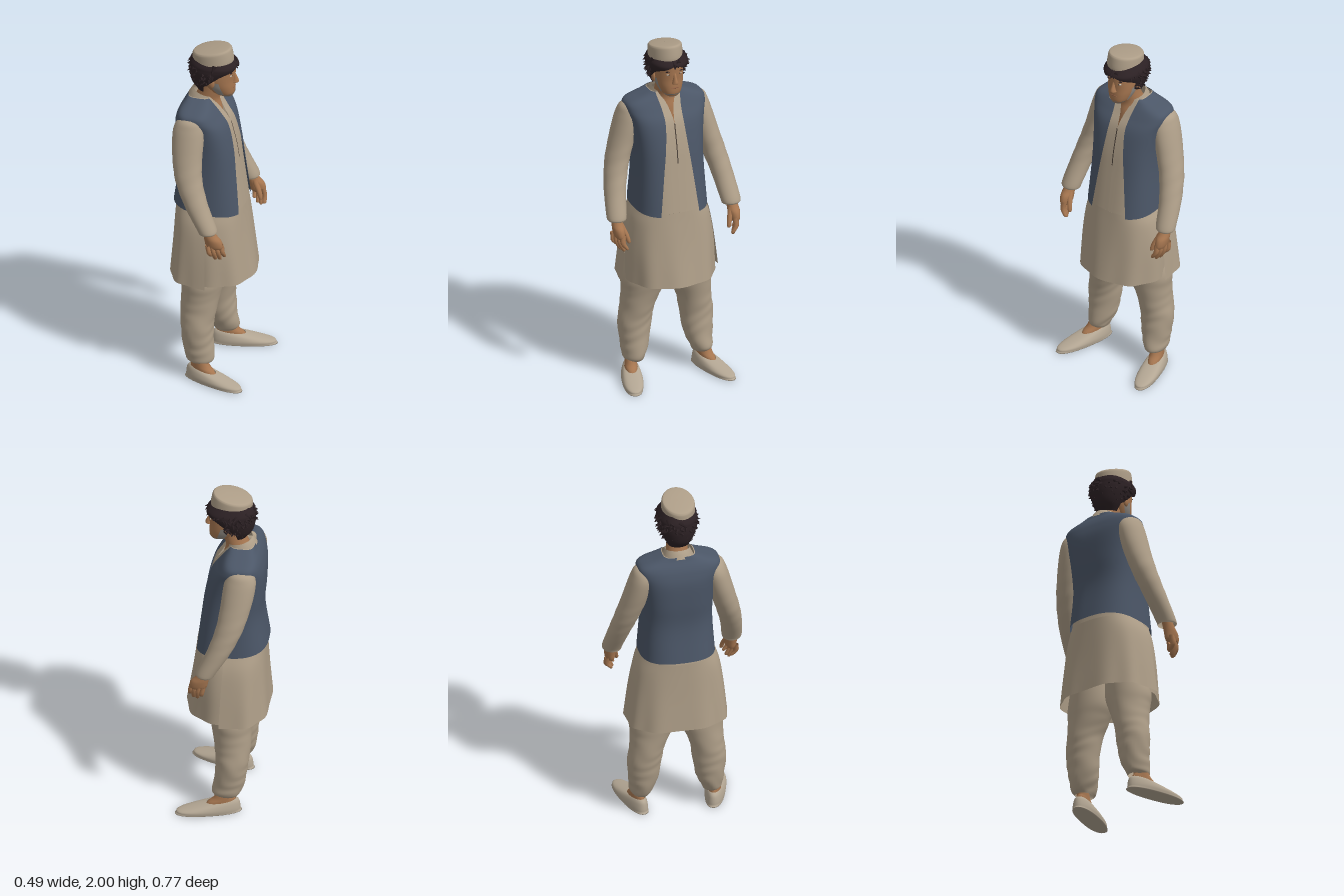
import * as THREE from 'three';

const mat = (name, color) => {
  const m = new THREE.MeshStandardMaterial({ color, side: THREE.DoubleSide });
  m.name = name;
  return m;
};

// Power of a signed number, used for squarish ellipses
const spow = (v, p) => Math.sign(v) * Math.abs(v) ** p;

// Lofts elliptical rings, bottom to top. Row: [y, cx, cz, rx, rz, frontGapHalfWidth, tilt]
// arc: angle range of a panel; p: squareness, or [bottom, top]; fold(angle, y): radius factor
function loft(rows, { seg = 32, steps = 5, p = 1, arc, gap = false, fold = () => 1 } = {}) {
  const curve = f => new THREE.CatmullRomCurve3(rows.map(f), false, 'catmullrom', 0.5);
  const centre = curve(r => new THREE.Vector3(r[1], r[0], r[2]));
  const size = curve(r => new THREE.Vector3(r[3], r[4], r[5] || 0));
  const tilt = curve(r => new THREE.Vector3(r[6] || 0, 0, 0));
  const [p0, p1] = [].concat(p, p);
  const open = gap || !!arc, cols = open ? seg + 1 : seg, n = (rows.length - 1) * steps;
  const pos = [], idx = [];
  for (let i = 0; i <= n; i++) {
    const v = i / n, c = centre.getPoint(v), s = size.getPoint(v), k = tilt.getPoint(v).x;
    const rx = Math.max(s.x, 0.0005), rz = Math.max(s.y, 0.0005), e = p0 + (p1 - p0) * v;
    let [a0, a1] = arc || [0, Math.PI * 2];
    if (gap) {
      a0 = Math.asin(Math.min(1, Math.max(0, s.z) / rz) ** (1 / e));
      a1 = Math.PI * 2 - a0;
    }
    for (let j = 0; j < cols; j++) {
      const t = a0 + (a1 - a0) * j / seg, f = fold(t, c.y);
      pos.push(c.x + rx * f * spow(Math.cos(t), e), c.y + k * Math.cos(t), c.z + rz * f * spow(Math.sin(t), e));
    }
  }
  for (let i = 0; i < n; i++) for (let j = 0; j < seg; j++) {
    const k = (j + 1) % cols, a = i * cols + j, b = i * cols + k, c = a + cols, d = b + cols;
    idx.push(a, c, b, b, c, d);
  }
  const g = new THREE.BufferGeometry();
  g.setAttribute('position', new THREE.Float32BufferAttribute(pos, 3));
  g.setIndex(idx);
  g.computeVertexNormals();
  return g;
}

export function createModel() {
  const cloth = mat('beige cloth', 0xae9e88), blue = mat('blue vest cloth', 0x4b5667);
  const skin = mat('skin', 0xa67650), hairMat = mat('dark hair', 0x2c2124);
  const leather = mat('shoe leather', 0xb3a693), stubble = mat('grey stubble', 0x8d8780);
  const white = mat('eye white', 0xc9c4ba), dark = mat('dark seam', 0x4a4038), lip = mat('lips', 0x8d5c43);

  const root = new THREE.Group();
  const add = (name, geo, m, parent = root) => {
    const mesh = new THREE.Mesh(geo, m);
    mesh.name = name;
    parent.add(mesh);
    return mesh;
  };
  const ball = (name, m, x, y, z, sx, sy, sz) => {
    const b = add(name, new THREE.SphereGeometry(1, 14, 10), m);
    b.position.set(x, y, z);
    b.scale.set(sx, sy, sz);
  };

  // Torso: vest sheet over a slightly smaller shirt
  const body = [
    [1.03, -0.033, 0, 0.201, 0.208, 0.113, -0.017], [1.25, -0.036, 0, 0.17, 0.194, 0.085],
    [1.4, -0.052, 0, 0.163, 0.196, 0.066], [1.53, -0.07, 0, 0.148, 0.212, 0.054],
    [1.6, -0.085, 0, 0.12, 0.23, 0.056], [1.64, -0.09, 0, 0.098, 0.216, 0.062],
    [1.67, -0.09, 0, 0.078, 0.14, 0.068], [1.69, -0.09, 0, 0.068, 0.09, 0.07]];
  add('vest', loft(body, { p: [0.75, 0.55], gap: true, seg: 64 }), blue);
  const neckGap = [0, 0, 0, 0, 0.012, 0.026, 0.036, 0.042];
  const shirt = body.map((r, i) => [r[0], r[1], 0, r[3] * 0.95, r[4] * 0.94, neckGap[i]]);
  add('shirtBody', loft(shirt, { p: [0.75, 0.55], gap: true, seg: 64 }), cloth);
  const placket = shirt.slice(1, 4).map(r => [r[0], r[1], 0, r[3] * 1.02, r[4]]);
  placket[0] = [1.31, -0.041, 0, 0.161, 0.185];
  add('placketSeam', loft(placket, { p: 0.75, arc: [-0.004, 0.004], seg: 4 }), dark);
  add('collar', loft([[1.65, -0.075, 0, 0.092, 0.09, 0.03, -0.03], [1.68, -0.075, 0, 0.077, 0.077, 0.036, -0.026],
    [1.703, -0.07, 0, 0.07, 0.068, 0.044, -0.018]], { gap: true }), cloth);

  // Long shirt skirt: front and back panels overlapping at the side slits
  const drape = (t, y) => 1 + Math.max(0, 1 - y) * 0.05 * Math.sin(t * 9 + 1);
  add('skirtFront', loft([[0.608, -0.015, 0, 0.23, 0.252, 0, -0.004], [0.8, -0.022, 0, 0.208, 0.247],
    [0.95, -0.03, 0, 0.197, 0.226], [1.03, -0.033, 0, 0.191, 0.1955]],
  { p: [0.9, 0.75], arc: [-1.6, 1.6], fold: drape, seg: 48 }), cloth);
  add('skirtBack', loft([[0.605, -0.018, 0, 0.224, 0.284, 0, -0.004], [0.8, -0.024, 0, 0.205, 0.262],
    [0.95, -0.03, 0, 0.192, 0.236], [1.05, -0.033, 0, 0.186, 0.196]],
  { p: 0.75, arc: [1.5, 4.78], fold: drape, seg: 48 }), cloth);

  // Limbs, one pass per side
  for (const s of [1, -1]) {
    const side = s > 0 ? 'right' : 'left';
    const limb = (rows, shift) => rows.map(([y, x, z, ...r]) => [y, x + (s < 0 ? shift(y) : 0), z * s, ...r]);
    const armShift = y => 0.033 * Math.min(1, Math.max(0, (1.62 - y) / 0.3));
    const legShift = y => 0.025 * Math.max(0, 1 - y / 0.6);

    add(side + 'Sleeve', loft(limb([
      [1.0, 0.043, 0.33, 0.048, 0.05], [1.025, 0.038, 0.33, 0.055, 0.056], [1.15, -0.028, 0.311, 0.066, 0.06],
      [1.28, -0.08, 0.28, 0.075, 0.066], [1.4, -0.1, 0.245, 0.083, 0.069], [1.5, -0.105, 0.217, 0.088, 0.07],
      [1.57, -0.105, 0.2, 0.083, 0.065], [1.615, -0.1, 0.192, 0.058, 0.05], [1.635, -0.1, 0.185, 0.002, 0.002]], armShift),
    { fold: (t, y) => 1 + 0.018 * Math.sin(y * 75 + t * 2) * Math.exp(-(((y - 1.25) / 0.12) ** 2)) }), cloth);

    const hand = new THREE.Group();
    hand.name = side + 'Hand';
    root.add(hand);
    add('palm', loft(limb([[0.905, 0.086, 0.333, 0.03, 0.014], [0.922, 0.084, 0.334, 0.048, 0.027],
      [0.96, 0.075, 0.335, 0.048, 0.032], [0.99, 0.058, 0.334, 0.037, 0.031], [1.04, 0.036, 0.33, 0.028, 0.028]], armShift),
    { seg: 16 }), skin, hand);
    for (let i = 0; i < 4; i++) {
      const x = 0.117 - i * 0.022, tip = [0.848, 0.834, 0.836, 0.855][i], z = 0.322 + i * 0.01;
      add('finger', loft(limb([[tip, x + 0.014, z - 0.016, 0.001, 0.001], [tip + 0.009, x + 0.014, z - 0.014, 0.011, 0.011],
        [0.89, x + 0.01, z + 0.006, 0.013, 0.015], [0.935, x, z + 0.004, 0.014, 0.016]], armShift), { seg: 10, steps: 3 }), skin, hand);
    }
    add('thumb', loft(limb([[0.88, 0.116, 0.289, 0.001, 0.001], [0.89, 0.115, 0.29, 0.012, 0.011],
      [0.93, 0.102, 0.3, 0.015, 0.014], [0.985, 0.07, 0.322, 0.02, 0.018]], armShift), { seg: 10, steps: 3 }), skin, hand);

    // Baggy trousers gathered at the ankle, reaching up under the skirt
    add(side + 'TrouserLeg', loft(limb([
      [0.1, -0.042, 0.192, 0.058, 0.045], [0.125, -0.042, 0.196, 0.078, 0.06], [0.2, -0.055, 0.185, 0.086, 0.079],
      [0.32, -0.063, 0.18, 0.09, 0.094], [0.42, -0.06, 0.166, 0.1, 0.096], [0.52, -0.05, 0.144, 0.11, 0.115],
      [0.6, -0.042, 0.131, 0.12, 0.131], [0.75, -0.035, 0.115, 0.13, 0.115], [0.98, -0.03, 0.1, 0.13, 0.095]], legShift),
    { steps: 8, fold: (t, y) => 1 + 0.03 * Math.max(0, 1 - y / 0.6) * Math.sin(y * 70 + 3 * Math.sin(t + s) + 2 * Math.sin(2 * t + y * 20)) }), cloth);

    const foot = new THREE.Group();
    foot.name = side + 'Foot';
    foot.position.set(s > 0 ? 0.05 : 0.073, 0, s > 0 ? 0.242 : -0.23);
    foot.rotation.y = s > 0 ? -0.3 : 0.24;
    root.add(foot);
    add('shoe', loft([[0, 0, 0, 0.001, 0.001], [0.001, 0, 0, 0.17, 0.05], [0.012, 0, 0, 0.176, 0.057],
      [0.03, -0.002, 0, 0.173, 0.058, 0, -0.006], [0.05, -0.022, 0, 0.148, 0.051, 0, -0.014],
      [0.064, -0.048, 0, 0.112, 0.043, 0, -0.014], [0.072, -0.07, 0, 0.082, 0.037, 0, -0.01]], { steps: 3, p: [0.82, 1] }), leather, foot);
    add('ankle', loft([[0.04, -0.066, 0, 0.09, 0.036, 0, -0.01], [0.077, -0.07, 0, 0.076, 0.035, 0, -0.014],
      [0.098, -0.082, 0, 0.054, 0.034, 0, -0.006], [0.14, -0.095, 0, 0.04, 0.032]], { seg: 16 }), skin, foot);
  }

  // Neck and head
  const cz = 0.008;
  add('neck', loft([[1.5, -0.075, 0, 0.11, 0.1], [1.6, -0.075, 0, 0.094, 0.085], [1.66, -0.065, 0, 0.07, 0.064],
    [1.72, -0.045, 0.004, 0.062, 0.057], [1.8, -0.03, cz, 0.06, 0.056]]), skin);
  const face = [[1.697, 0.045, cz, 0.001, 0.001], [1.702, 0.045, cz, 0.037, 0.033], [1.722, 0.03, cz, 0.064, 0.054],
    [1.76, 0.012, cz, 0.084, 0.07], [1.8, -0.005, cz, 0.1, 0.078], [1.85, -0.02, cz, 0.118, 0.081],
    [1.9, -0.025, cz, 0.118, 0.083], [1.95, -0.03, cz, 0.07, 0.06]];
  add('head', loft(face, { p: 0.9 }), skin);
  // Beard shadow: a band under the chin and a narrow strip up each jaw
  const beard = face.slice(1, 5).map(r => [r[0], r[1], cz, r[3] + 0.0025, r[4] + 0.0025]);
  add('chinStubble', loft(beard.slice(0, 2), { p: 0.9, seg: 24, arc: [-1.75, 1.75] }), stubble);
  for (const s of [1, -1]) {
    add('jawStubble', loft(beard.slice(1), { p: 0.9, seg: 12, arc: s > 0 ? [1.3, 1.8] : [-1.8, -1.3] }), stubble);
    ball('ear', skin, -0.012, 1.797, cz + s * 0.081, 0.018, 0.03, 0.011);
    ball('eye', white, 0.084, 1.838, cz + s * 0.031, 0.007, 0.006, 0.014);
    ball('iris', dark, 0.0895, 1.838, cz + s * 0.031, 0.003, 0.004, 0.004);
    ball('eyebrow', hairMat, 0.087, 1.856, cz + s * 0.033, 0.006, 0.003, 0.019);
  }
  add('nose', loft([[1.779, 0.09, cz, 0.004, 0.006], [1.786, 0.096, cz, 0.02, 0.018], [1.797, 0.098, cz, 0.021, 0.015],
    [1.82, 0.094, cz, 0.016, 0.01], [1.85, 0.088, cz, 0.008, 0.008]], { seg: 14 }), skin);
  ball('mouth', lip, 0.092, 1.757, cz, 0.006, 0.004, 0.023);

  // Hair shell with seeded ragged tufts
  add('hair', loft([[1.725, -0.065, cz, 0.045, 0.058, 0.058], [1.77, -0.056, cz, 0.088, 0.082, 0.082],
    [1.82, -0.042, cz, 0.114, 0.101, 0.093], [1.855, -0.03, cz, 0.128, 0.109, 0.085], [1.878, -0.022, cz, 0.134, 0.11, 0.04],
    [1.9, -0.022, cz, 0.13, 0.107, 0], [1.935, -0.03, cz, 0.1, 0.085, 0]], { gap: true, seg: 40, p: [1, 0.85] }), hairMat);
  let seed = 7;
  const rnd = () => (seed = (seed * 16807) % 2147483647) / 2147483647;
  const tufts = new THREE.Group();
  tufts.name = 'hairTufts';
  root.add(tufts);
  const tuftGeo = new THREE.ConeGeometry(0.02, 0.05, 5);
  for (let i = 0; i < 170; i++) {
    const t = rnd() * Math.PI * 2, y = 1.76 + rnd() * 0.14;
    if (y < 1.88 && Math.cos(t) > 0.3) continue;
    const k = Math.min(1, 0.7 + (y - 1.76) * 3.6);
    const tuft = add('tuft', tuftGeo, hairMat, tufts);
    tuft.position.set(-0.026 + 0.126 * k * Math.cos(t), y, cz + 0.106 * k * Math.sin(t));
    const dir = new THREE.Vector3(Math.cos(t + (rnd() - 0.5) * 2), -0.8 + rnd() * 0.8, Math.sin(t + (rnd() - 0.5) * 2)).normalize();
    tuft.quaternion.setFromUnitVectors(new THREE.Vector3(0, 1, 0), dir);
  }

  // Round flat cap, tipped back
  add('cap', loft([[1.885, -0.024, 0.015, 0.113, 0.092, 0, 0.026], [1.91, -0.024, 0.015, 0.114, 0.093, 0, 0.025],
    [1.96, -0.029, 0.015, 0.111, 0.091, 0, 0.022], [1.974, -0.03, 0.015, 0.106, 0.087, 0, 0.021],
    [1.98, -0.03, 0.015, 0.096, 0.078, 0, 0.019], [1.984, -0.03, 0.015, 0.05, 0.04, 0, 0.01],
    [1.985, -0.03, 0.015, 0.001, 0.001, 0, 0]], { steps: 3, seg: 40 }), cloth);
  return root;
}
